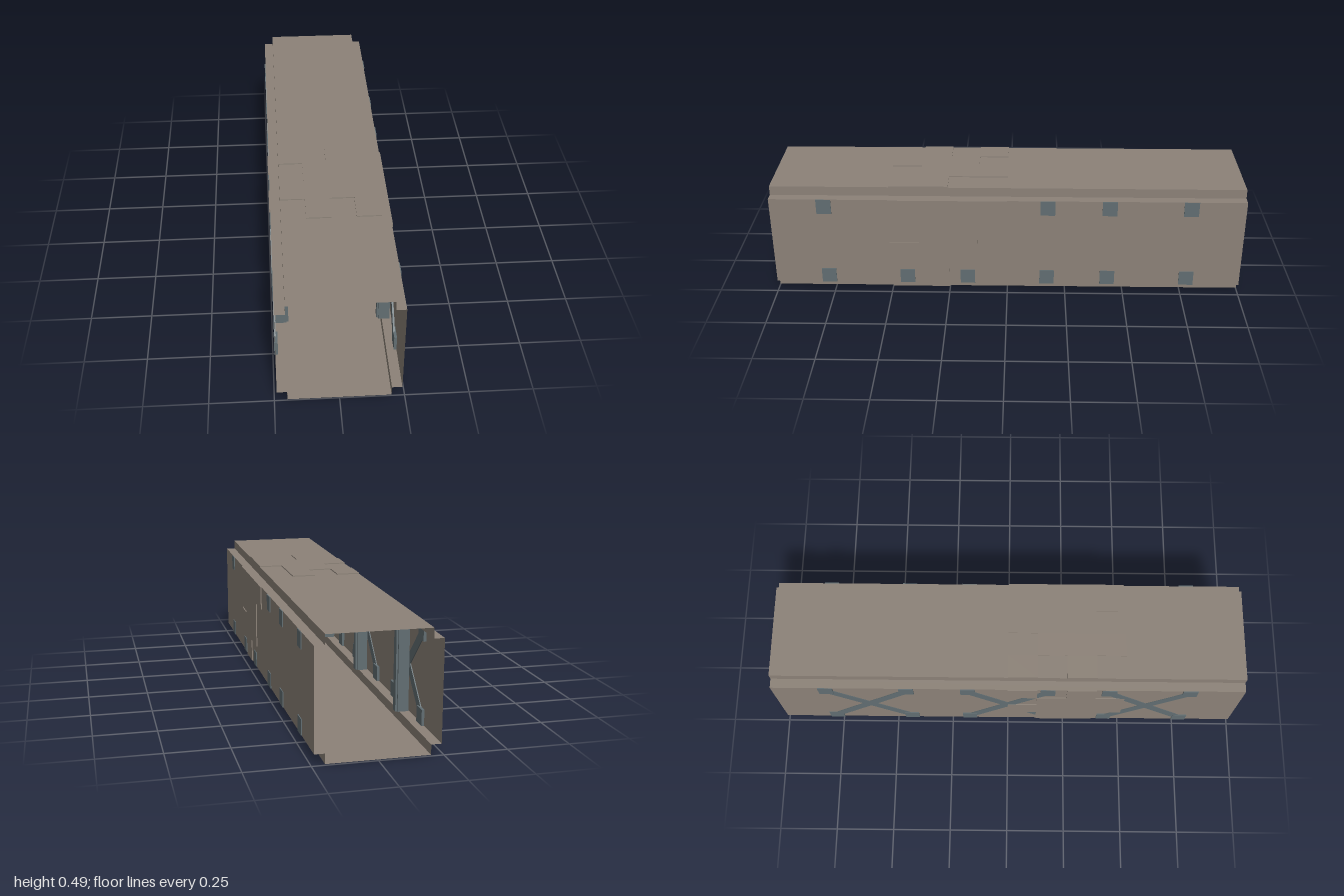
import * as THREE from 'three';

export function createModel() {
  const root = new THREE.Group();
  root.name = 'corridorSection';
  const panelMat = new THREE.MeshStandardMaterial({ color: 0x8c8278, side: THREE.DoubleSide, flatShading: true });
  const steelMat = new THREE.MeshStandardMaterial({ color: 0x626e72, flatShading: true });
  const midY = 0.2445;

  const box = (parent, name, mat, size, pos, rotX = 0) => {
    const mesh = new THREE.Mesh(new THREE.BoxGeometry(...size), mat);
    mesh.name = name;
    mesh.position.set(...pos);
    mesh.rotation.x = rotX;
    parent.add(mesh);
    return mesh;
  };

  // Open-ended thin shell with stepped corners: one sheet per profile edge
  const a = 0.2, b = 0.24;
  const profile = [
    [-a, -b], [a, -b], [a, -a], [b, -a], [b, a], [a, a],
    [a, b], [-a, b], [-a, a], [-b, a], [-b, -a], [-a, -a],
  ];
  const shell = new THREE.Group();
  shell.name = 'shell';
  root.add(shell);
  profile.forEach(([x0, y0], i) => {
    const [x1, y1] = profile[(i + 1) % profile.length];
    const len = Math.hypot(x1 - x0, y1 - y0);
    const geo = new THREE.PlaneGeometry(len, 2);
    geo.rotateX(Math.PI / 2);
    const sheet = new THREE.Mesh(geo, panelMat);
    sheet.name = len > 0.1 ? 'panel' : 'cornerStep';
    sheet.position.set((x0 + x1) / 2, midY + (y0 + y1) / 2, 0);
    sheet.rotation.z = Math.atan2(y1 - y0, x1 - x0);
    shell.add(sheet);
  });

  // Raised plates on a 4 x 4 grid; each string is one row, read from z = 0.5 back to z = 0
  const plateThick = 0.0045;
  const plates = (name, rows, place) => {
    const g = new THREE.Group();
    g.name = name;
    rows.forEach((row, r) => [...row].forEach((c, j) => {
      if (c === '#') place(g, -0.15 + r * 0.1, 0.4375 - j * 0.125);
    }));
    root.add(g);
  };
  const flatPlates = (y) => (g, u, z) =>
    box(g, 'plate', panelMat, [0.1, plateThick, 0.125], [u, y, z]);
  const wallPlates = (x) => (g, u, z) =>
    box(g, 'plate', panelMat, [plateThick, 0.1, 0.125], [x, midY + u, z]);
  const off = b + plateThick / 2;
  plates('roofPlates', ['.#.#', '###.', '.###', '##..'], flatPlates(midY + off));
  plates('floorPlates', ['.#.#', '###.', '.###', '##..'], flatPlates(midY - off));
  plates('leftWallPlates', ['.#..', '###.', '.##.', '####'], wallPlates(off));
  plates('rightWallPlates', ['.##.', '####', '###.', '.#.#'], wallPlates(-off));

  // Wall framing: a post with crossed braces and four end pads per bay
  const frame = (name, padX, braceX, postX, ridgeX) => {
    const g = new THREE.Group();
    g.name = name;
    for (const z of [-0.6, 0, 0.6]) {
      box(g, 'post', steelMat, [0.045, 0.397, 0.045], [postX, midY, z]);
      box(g, 'postRidge', steelMat, [0.0075, 0.397, 0.03], [ridgeX, midY, z]);
      for (const s of [-1, 1]) {
        box(g, 'brace', steelMat, [0.0072, 0.04, 0.46], [braceX, midY, z], s * Math.atan2(0.335, 0.34));
        for (const t of [-1, 1]) {
          box(g, 'bracePad', steelMat, [0.0148, 0.065, 0.0625], [padX, midY + t * 0.167, z + s * 0.17]);
        }
      }
    }
    root.add(g);
  };
  frame('leftFrame', 0.2362, 0.2322, 0.2085, 0.1823);
  frame('rightFrame', -0.2367, -0.2394, -0.2125, -0.1863);

  return root;
}
